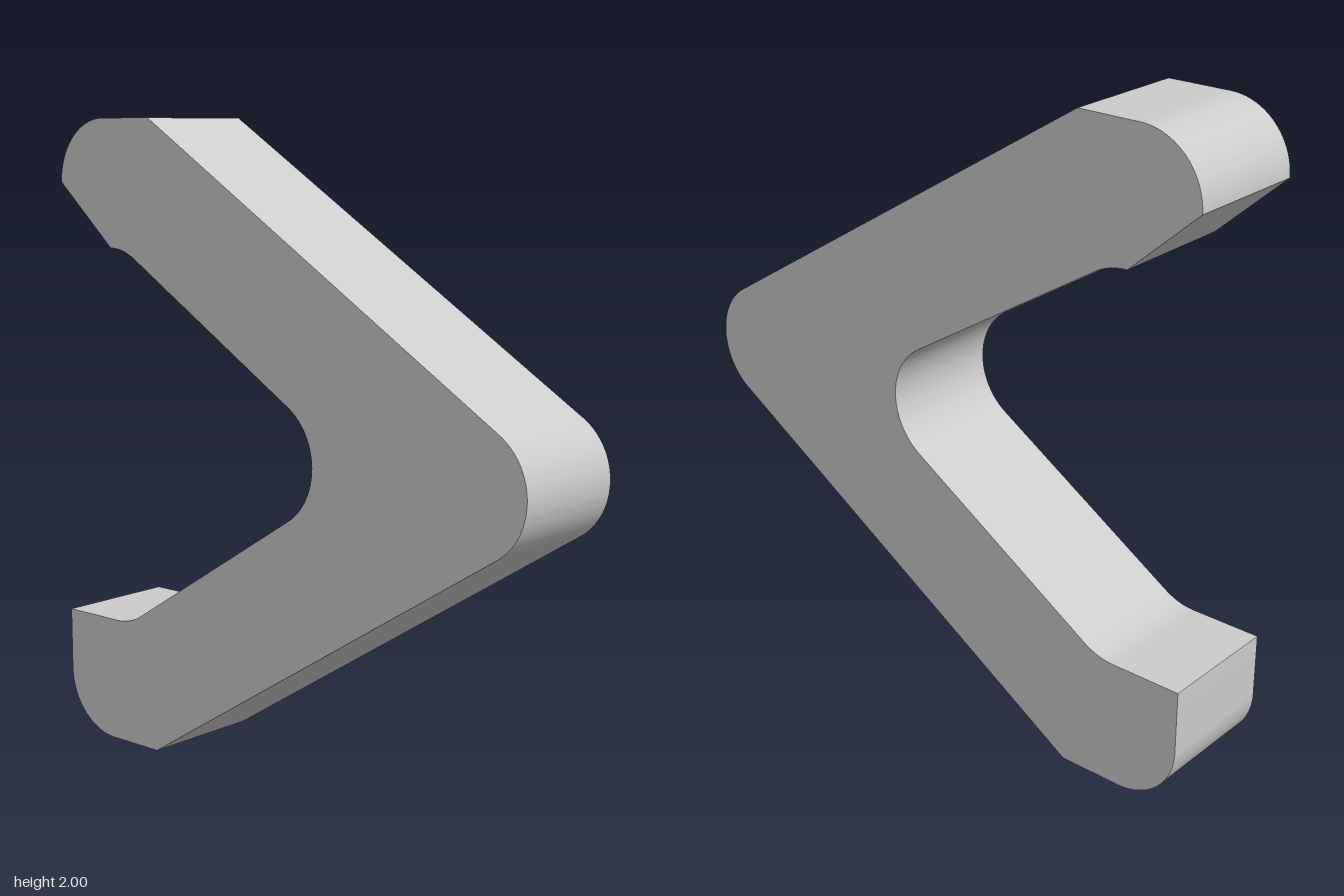
import * as THREE from 'three';
import { toCreasedNormals } from 'three/addons/utils/BufferGeometryUtils.js';

export function createModel() {
  const group = new THREE.Group();
  group.name = 'chevronBracket';

  const r = 0.2;                          // shared corner radius
  const depth = 0.4;
  const a = Math.atan2(0.848, 0.53);      // angle of the arm's normal
  const q = Math.PI / 2;

  // Chevron outline, symmetric about y = 1
  const s = new THREE.Shape();
  s.moveTo(-0.91, 1.6);
  s.absarc(-0.71, 1.8, r, Math.PI, q, true);   // upper outer corner
  s.lineTo(-0.51, 2);
  s.absarc(0.71, 1, r, a, -a, true);           // outer tip
  s.lineTo(-0.51, 0);
  s.absarc(-0.71, 0.2, r, -q, -Math.PI, true); // lower outer corner
  s.lineTo(-0.91, 0.4);
  s.absarc(-0.685, 0.6, r, -q, -a, false);     // lower inner bend
  s.absarc(-0.045, 1, r, -a, a, false);        // inner tip
  s.absarc(-0.685, 1.4, r, a, q, false);       // upper inner bend
  s.closePath();

  const geometry = new THREE.ExtrudeGeometry(s, { depth, bevelEnabled: false, curveSegments: 20 });
  geometry.translate(0, 0, -depth / 2);

  const body = new THREE.Mesh(
    toCreasedNormals(geometry, 0.4),
    new THREE.MeshStandardMaterial({ color: 0xcccccc })
  );
  body.name = 'chevronBody';
  group.add(body);
  return group;
}
